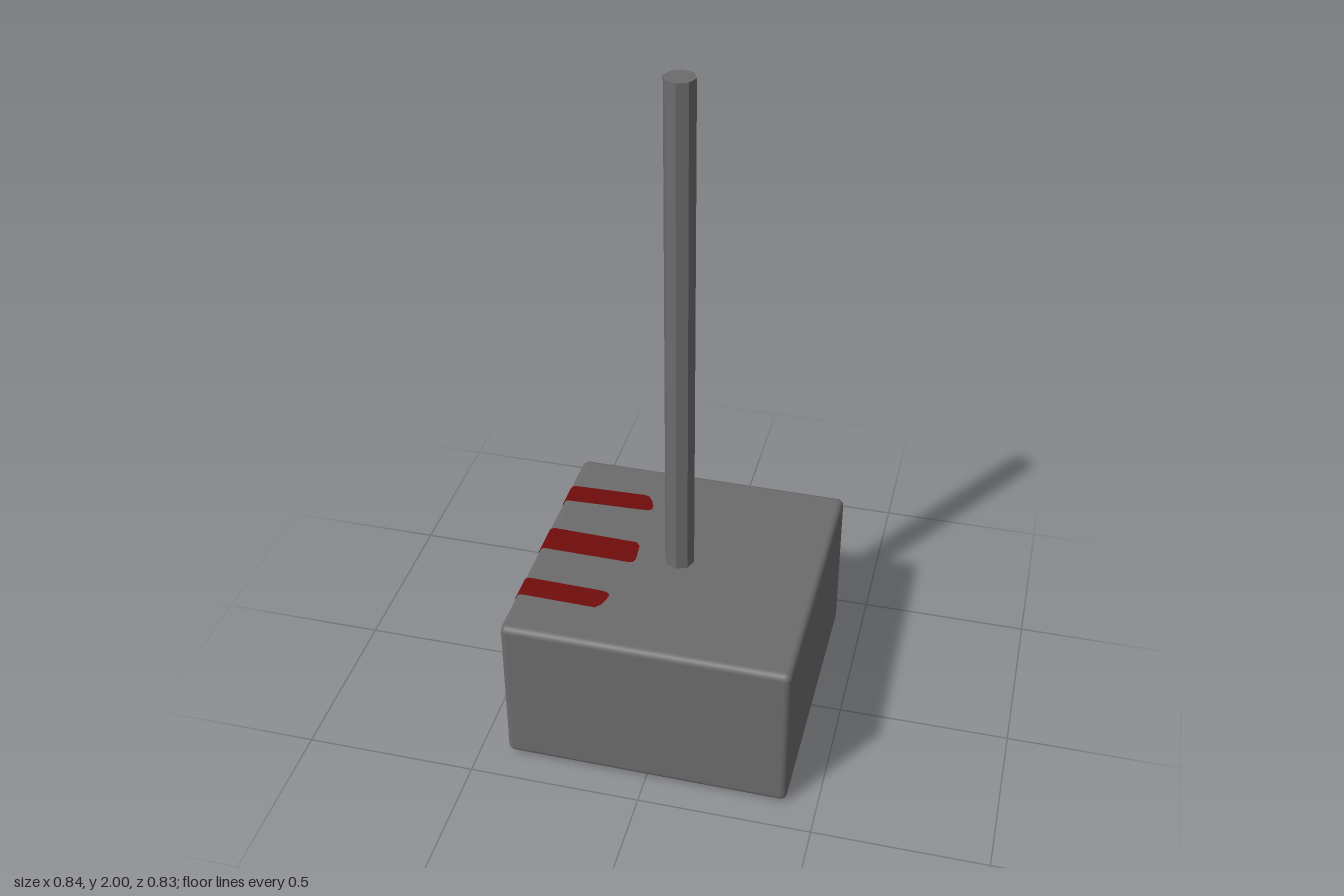
import * as THREE from 'three';
import { RoundedBoxGeometry } from 'three/addons/geometries/RoundedBoxGeometry.js';

const HALF = 0.415, TOP = 0.486, BOTTOM = 0.01, RADIUS = 0.02, LIFT = 0.002;

// Painted ribbon running over the rounded top edge of the -x side.
// Rows are [x, y, zMin, zMax]; two outer sections and the folded edge between.
function stripeGeometry(topRows, sideRows) {
  const y = TOP + LIFT, x = -HALF - LIFT;
  const [z0, z1] = sideRows[0].slice(1);
  const rows = topRows.map(([px, a, b]) => [px, y, a, b]);
  for (let i = 0; i <= 6; i++) {
    const t = (i / 6) * Math.PI / 2, r = RADIUS + LIFT;
    rows.push([-HALF + RADIUS - r * Math.sin(t), TOP - RADIUS + r * Math.cos(t), z0, z1]);
  }
  sideRows.forEach(([py, a, b]) => rows.push([x, py, a, b]));

  const positions = [], index = [];
  rows.forEach(([px, py, a, b], i) => {
    positions.push(px, py, a, px, py, b);
    if (i < rows.length - 1) {
      const k = i * 2;
      index.push(k, k + 2, k + 1, k + 1, k + 2, k + 3);
    }
  });
  const geometry = new THREE.BufferGeometry();
  geometry.setAttribute('position', new THREE.Float32BufferAttribute(positions, 3));
  geometry.setIndex(index);
  geometry.computeVertexNormals();
  return geometry;
}

export function createModel() {
  const model = new THREE.Group();
  model.name = 'hammer';
  const grey = new THREE.MeshStandardMaterial({ color: 0x6c6c6c });
  grey.name = 'grey metal';
  const poleGrey = grey.clone();
  poleGrey.flatShading = true;
  const red = new THREE.MeshStandardMaterial({ color: 0x700c0c, side: THREE.DoubleSide });
  red.name = 'dark red';

  // Octagonal handle passing right through the head
  const handle = new THREE.Mesh(new THREE.CylinderGeometry(0.043, 0.043, 2, 8), poleGrey);
  handle.name = 'handle';
  handle.position.y = 1;
  model.add(handle);

  // Head, turned very slightly about the handle
  const head = new THREE.Group();
  head.name = 'head';
  head.rotation.y = -0.006;
  model.add(head);
  const block = new THREE.Mesh(
    new RoundedBoxGeometry(HALF * 2, TOP - BOTTOM, HALF * 2, 4, RADIUS), grey);
  block.name = 'headBlock';
  block.position.y = (TOP + BOTTOM) / 2;
  head.add(block);

  // Three stripes: top rows are [x, zMin, zMax], side rows are [y, zMin, zMax]
  const stripes = [
    ['backStripe',
      [[-0.14, -0.225, -0.21], [-0.15, -0.25, -0.202], [-0.165, -0.27, -0.201], [-0.18, -0.274, -0.2]],
      [[0.45, -0.266, -0.19], [0.385, -0.262, -0.194], [0.368, -0.252, -0.204], [0.36, -0.238, -0.218]]],
    ['middleStripe',
      [[-0.125, 0.02, 0.035], [-0.13, -0.03, 0.048], [-0.142, -0.045, 0.05]],
      [[0.45, -0.05, 0.048], [0.26, -0.046, 0.044], [0.235, -0.036, 0.034], [0.222, -0.016, 0.014]]],
    ['frontStripe',
      [[-0.155, 0.205, 0.215], [-0.165, 0.195, 0.25], [-0.18, 0.192, 0.267]],
      [[0.45, 0.188, 0.264], [0.385, 0.192, 0.26], [0.366, 0.202, 0.25], [0.358, 0.216, 0.236]]],
  ];
  for (const [name, topRows, sideRows] of stripes) {
    const stripe = new THREE.Mesh(stripeGeometry(topRows, sideRows), red);
    stripe.name = name;
    head.add(stripe);
  }
  return model;
}
